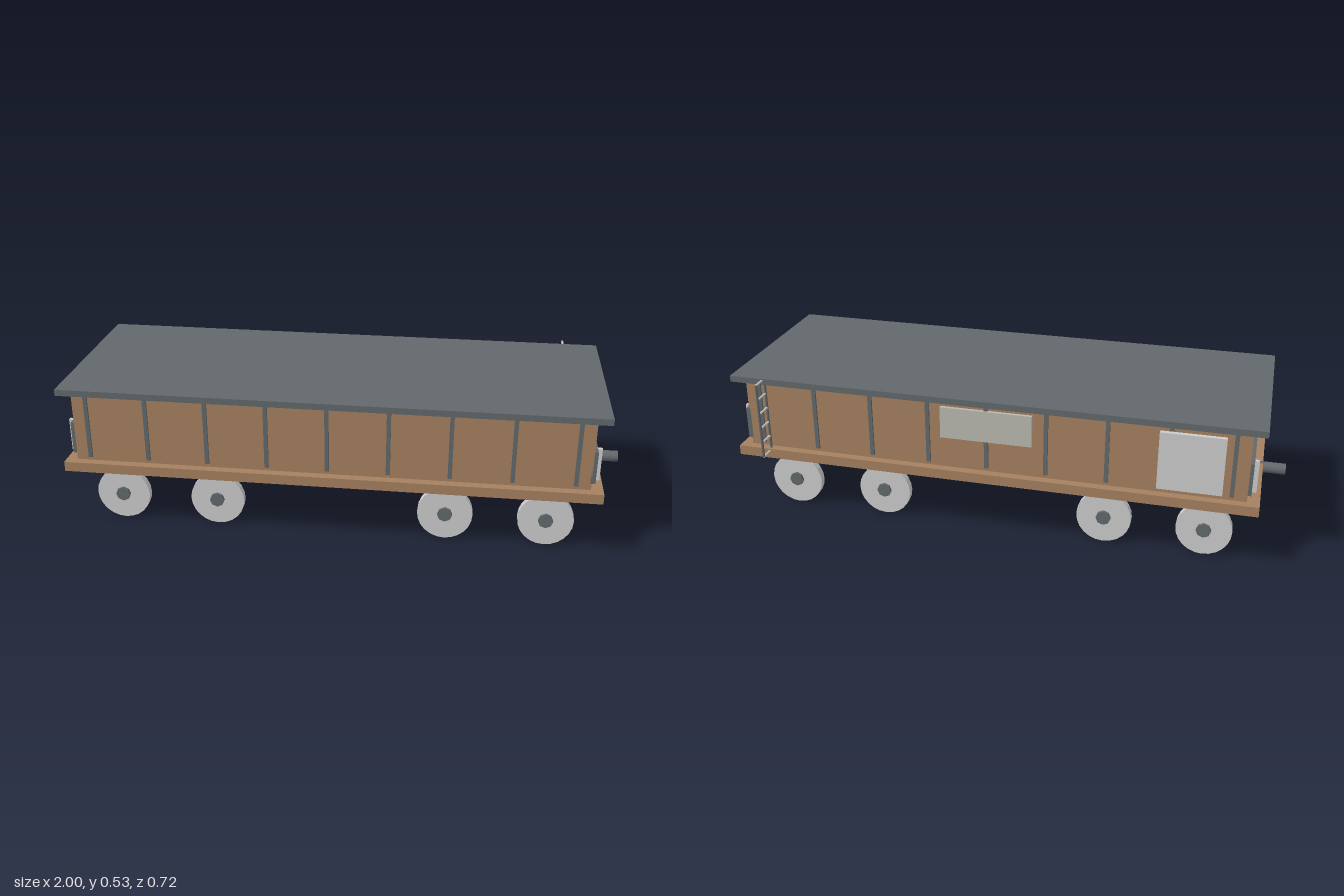
import * as THREE from 'three';

const material = (color, flatShading = false) => new THREE.MeshStandardMaterial({ color, flatShading });
const wood = material(0xa5805f);
const steel = material(0x62686c, true);
const grey = material(0xcccccc, true);
const sign = material(0xb8b8ae);
const ZC = 0.0245; // centre line of the wagon; the ladder sticks out at the back

export function createModel() {
  const model = new THREE.Group();

  const add = (name, geometry, mat, x, y, z) => {
    const mesh = new THREE.Mesh(geometry, mat);
    mesh.name = name;
    mesh.position.set(x, y, z);
    model.add(mesh);
    return mesh;
  };
  // Box given by its extents along each axis
  const box = (name, mat, [x0, x1], [y0, y1], [z0, z1]) =>
    add(name, new THREE.BoxGeometry(x1 - x0, y1 - y0, z1 - z0), mat, (x0 + x1) / 2, (y0 + y1) / 2, (z0 + z1) / 2);
  // Cylinder lying along z
  const disc = (name, mat, radius, length, sides, x, y, z) =>
    add(name, new THREE.CylinderGeometry(radius, radius, length, sides).rotateX(Math.PI / 2), mat, x, y, z);

  // Deck, body and roof
  box('deck', wood, [-0.922, 0.922], [0.218, 0.253], [-0.309, 0.358]);
  box('body', wood, [-0.88, 0.88], [0.257, 0.506], [-0.286, 0.335]);
  box('roof', steel, [-0.925, 0.925], [0.505, 0.527], [-0.313, 0.362]);

  // Upright ribs on both long sides
  for (let i = -4; i <= 4; i++) {
    const x = i * 0.2075;
    box('frontRib', steel, [x - 0.007, x + 0.007], [0.27, 0.497], [0.33, 0.342]);
    box('backRib', steel, [x - 0.007, x + 0.007], [0.27, 0.497], [-0.293, -0.281]);
  }

  for (const s of [-1, 1]) {
    // End panel with two posts, and the coupler
    const span = (a, b) => (s > 0 ? [a, b] : [-b, -a]);
    box('endPanel', steel, span(0.875, 0.892), [0.28, 0.395], [-0.286, 0.335]);
    for (const z of [ZC - 0.277, ZC + 0.277])
      box('endPost', grey, span(0.89, 0.907), [0.28, 0.395], [z - 0.006, z + 0.006]);
    add('coupler', new THREE.CylinderGeometry(0.0195, 0.0195, 0.1, 16).rotateZ(Math.PI / 2),
      steel, s * 0.95, 0.236, ZC);

    // Bogie frame with four wheels
    box('bogieFrame', steel, span(0.323, 0.828), [0.163, 0.218], [-0.205, 0.254]);
    for (const x of [0.403, 0.748])
      for (const side of [-1, 1]) {
        const z = ZC + side * 0.235;
        disc('wheel', grey, 0.096, 0.026, 24, s * x, 0.097, z);
        disc('wheelHub', steel, 0.026, 0.046, 8, s * x, 0.097, z);
      }
  }

  // Door and sign board on the back
  box('backDoor', grey, [-0.8, -0.585], [0.28, 0.485], [-0.31, -0.294]);
  box('signBoard', sign, [-0.16, 0.16], [0.372, 0.485], [-0.298, -0.285]);

  // Ladder standing out from the back wall
  for (const z of [-0.294, -0.357])
    add('ladderRail', new THREE.CylinderGeometry(0.0045, 0.0045, 0.276, 8), steel, 0.804, 0.383, z);
  for (let i = 0; i < 6; i++)
    disc('ladderRung', grey, 0.004, 0.066, 8, 0.804, 0.245 + i * 0.055, -0.3255);

  return model;
}
